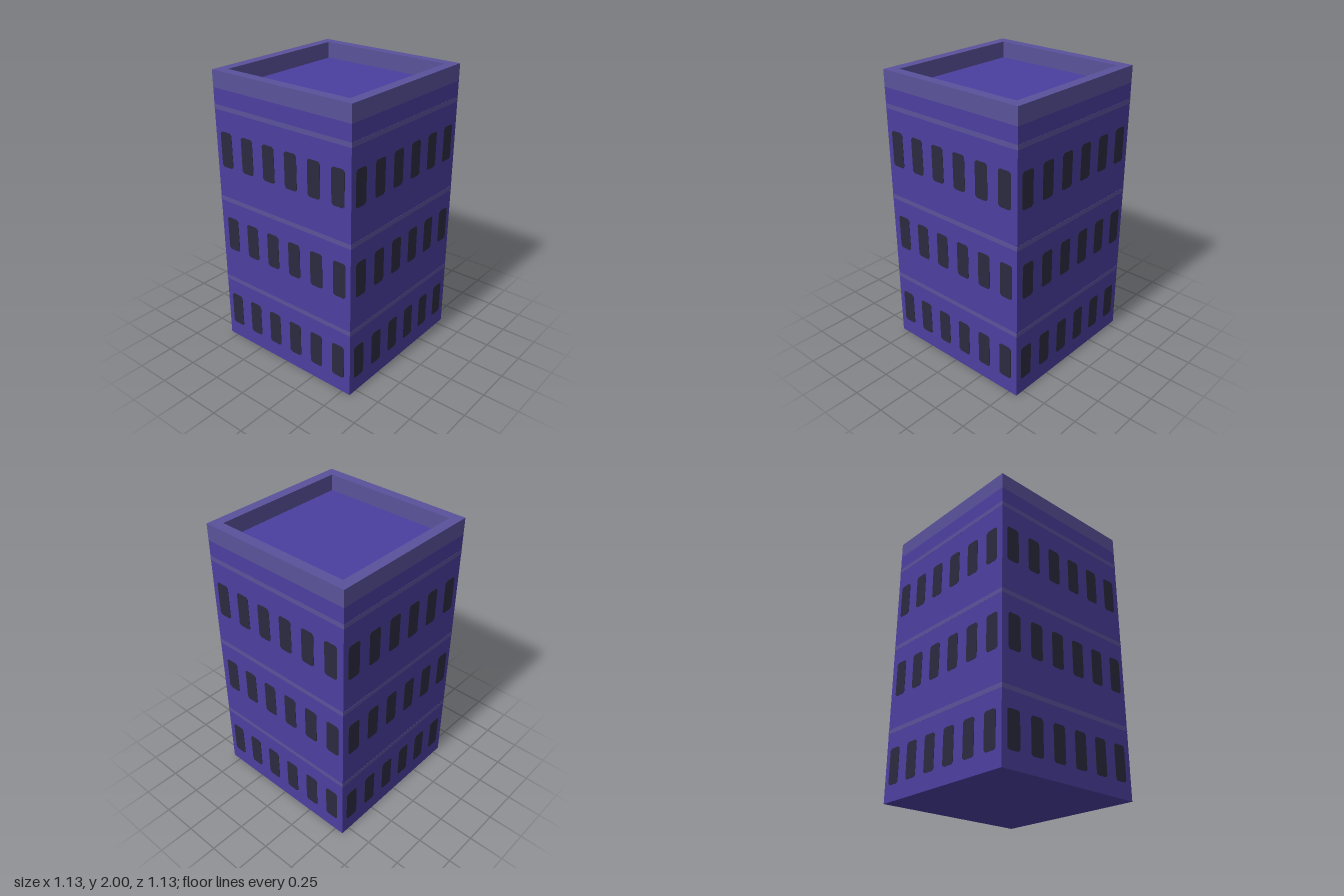
import * as THREE from 'three';

const HALF = 0.565, ROOF = 1.885, TOP = 2;

function material(name, color) {
  const m = new THREE.MeshStandardMaterial({ color });
  m.name = name;
  return m;
}

function rectangle(path, h) {
  path.moveTo(-h, -h);
  path.lineTo(h, -h);
  path.lineTo(h, h);
  path.lineTo(-h, h);
  path.closePath();
  return path;
}

// Upright pane with clipped corners
function paneShape(w, h, c) {
  const x = w / 2, y = h / 2;
  return new THREE.Shape([
    [-x + c, -y], [x - c, -y], [x, -y + c], [x, y - c],
    [x - c, y], [-x + c, y], [-x, y - c], [-x, -y + c],
  ].map(([a, b]) => new THREE.Vector2(a, b)));
}

export function createModel() {
  const wall = material('purple wall', 0x4b3f9f);
  const trim = material('grey purple trim', 0x5a529b);
  const glass = material('dark window', 0x2c2b40);

  const building = new THREE.Group();
  building.name = 'building';
  const add = (parent, name, geometry, mat, x = 0, y = 0, z = 0) => {
    const mesh = new THREE.Mesh(geometry, mat);
    mesh.name = name;
    mesh.position.set(x, y, z);
    parent.add(mesh);
    return mesh;
  };

  // Main block, whose top is the roof floor
  add(building, 'walls', new THREE.BoxGeometry(HALF * 2, ROOF, HALF * 2), wall, 0, ROOF / 2, 0);

  // Parapet ring around the sunken roof
  const ring = rectangle(new THREE.Shape(), HALF);
  ring.holes.push(rectangle(new THREE.Path(), 0.493));
  const parapet = new THREE.ExtrudeGeometry(ring, { depth: TOP - ROOF, bevelEnabled: false });
  parapet.rotateX(-Math.PI / 2);
  add(building, 'parapet', parapet, trim, 0, ROOF, 0);

  // Thin bands between floors
  for (const y of [0.486, 1.114, 1.76]) {
    const size = HALF * 2 + 0.002;
    add(building, 'floorBand', new THREE.BoxGeometry(size, 0.032, size), trim, 0, y, 0);
  }

  // Three rows of six windows on each of the four sides
  const pane = new THREE.ExtrudeGeometry(paneShape(0.1, 0.247, 0.014), { depth: 0.003, bevelEnabled: false });
  const rows = [[0.236, -0.474], [0.856, -0.464], [1.476, -0.474]];
  for (let side = 0; side < 4; side++) {
    const facade = new THREE.Group();
    facade.name = 'windowSide';
    facade.rotation.y = side * Math.PI / 2;
    for (const [y, start] of rows) {
      for (let i = 0; i < 6; i++) {
        add(facade, 'window', pane, glass, start + i * 0.188, y, HALF - 0.001);
      }
    }
    building.add(facade);
  }
  return building;
}
